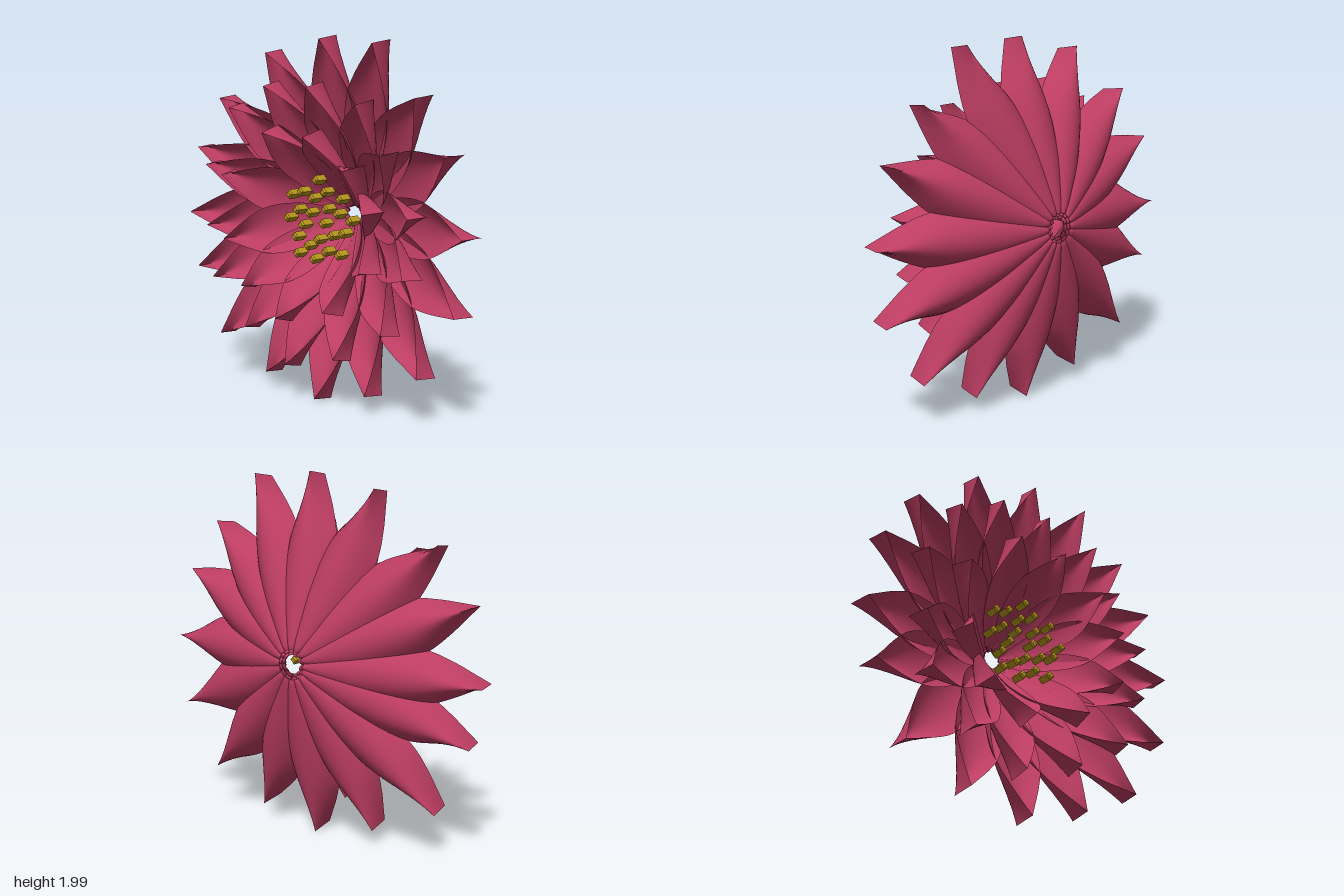
import * as THREE from 'three';

const rad = THREE.MathUtils.degToRad;

// Smooth curve through [t, value] knots
function profile(knots) {
  const curve = new THREE.SplineCurve(knots.map(([t, v]) => new THREE.Vector2(t, v)));
  const pts = curve.getPoints(120);
  return (t) => {
    let i = 1;
    while (i < pts.length - 1 && pts[i].x < t) i++;
    const a = pts[i - 1], b = pts[i];
    return THREE.MathUtils.lerp(a.y, b.y, (t - a.x) / (b.x - a.x));
  };
}

// Half width and cup depth along a petal, base to tip
const halfWidth = profile([[0, 0.16], [0.06, 0.38], [0.15, 0.58], [0.3, 0.86], [0.5, 1], [0.66, 0.92], [0.8, 0.61], [0.92, 0.25], [1, 0]]);
const cupDepth = profile([[0, 0.2], [0.2, 0.48], [0.45, 0.76], [0.7, 0.92], [1, 1]]);

// Thick boat-shaped petal along +x: rounded back, shallower hollow toward +z, upright prow at the tip
function petalGeometry({ base, width, depth, lean, baseZ, tipZ }, radius) {
  const rows = 28, cols = 14, stride = cols + 1, sheet = (rows + 1) * stride;
  const pos = [], index = [];
  for (const floor of [0, 0.5]) {
    for (let i = 0; i <= rows; i++) {
      const t = i / rows;
      const r = base + (radius - base) * t;
      const keel = THREE.MathUtils.lerp(baseZ, tipZ, t) - 0.025 * Math.sin(Math.PI * t);
      for (let j = 0; j <= cols; j++) {
        const u = (j / cols) * 2 - 1;
        const d = depth * cupDepth(t) * (floor + (1 - floor) * Math.pow(Math.abs(u), 2.1));
        pos.push(r - d * Math.sin(lean) * t, width * halfWidth(t) * u, keel + d * Math.cos(lean));
      }
    }
  }
  for (let j = 0; j < cols; j++) {
    for (let i = 0; i < rows; i++) {
      const a = i * stride + j, b = a + stride, c = a + sheet, d = b + sheet;
      index.push(a, a + 1, b, b, a + 1, b + 1); // back
      index.push(c, d, c + 1, d, d + 1, c + 1); // hollow
    }
    index.push(j, sheet + j + 1, j + 1, j, sheet + j, sheet + j + 1); // base end
  }
  const g = new THREE.BufferGeometry();
  g.setAttribute('position', new THREE.Float32BufferAttribute(pos, 3));
  g.setIndex(index);
  g.computeVertexNormals();
  return g;
}

// Petal rings: each petal is [angle in degrees, tip radius]
const rings = [
  {
    name: 'outerPetal', base: 0.08, width: 0.155, depth: 0.14, lean: rad(9), baseZ: -0.28, tipZ: -0.04,
    petals: [[87, 0.99], [66.4, 1.05], [44.6, 0.98], [24.2, 0.98], [0, 1], [-22.6, 1.04], [-45.8, 1.05], [-67.3, 0.99],
      [-89, 1], [-111.6, 0.98], [-135, 1.05], [-159, 1], [-178, 1], [158.6, 0.99], [138, 0.98], [111, 0.98]],
  },
  {
    name: 'middlePetal', base: 0.065, width: 0.14, depth: 0.135, lean: rad(13), baseZ: -0.275, tipZ: 0.08,
    petals: [[85, 0.75], [58, 0.78], [35, 0.71], [7, 0.77], [-17, 0.77], [-42, 0.8], [-70, 0.77],
      [-97, 0.82], [-123, 0.77], [-151, 0.79], [-174, 0.74], [159, 0.79], [131, 0.82], [109, 0.79]],
  },
  {
    name: 'innerPetal', base: 0.05, width: 0.135, depth: 0.145, lean: rad(16), baseZ: -0.27, tipZ: 0.15,
    petals: [[76.5, 0.52], [39, 0.53], [11, 0.56], [-22, 0.57], [-60, 0.54],
      [-100, 0.56], [-133.5, 0.55], [-166, 0.54], [155, 0.59], [111, 0.55]],
  },
];

// Stamen positions, relative to the flower centre
const stamens = [
  [0, 0.22], [-0.11, 0.15], [0.06, 0.16], [-0.19, 0.13], [0.17, 0.13], [-0.03, 0.12], [-0.14, 0.05], [0.07, 0.07],
  [0.15, 0.05], [0.24, 0.02], [-0.05, 0.04], [-0.21, 0], [-0.1, -0.03], [0.05, -0.01], [0.19, -0.05], [0.11, -0.07],
  [-0.15, -0.1], [0.01, -0.1], [-0.06, -0.14], [-0.14, -0.19], [0.07, -0.16], [0.16, -0.17], [-0.02, -0.21],
];

export function createModel() {
  const petalPink = new THREE.MeshStandardMaterial({ color: 0xbc3d62 });
  petalPink.name = 'petalPink';
  const stamenGold = new THREE.MeshStandardMaterial({ color: 0xb8981c });
  stamenGold.name = 'stamenGold';

  const flower = new THREE.Group();
  flower.name = 'flower';

  // Three rings of cupped petals
  for (const ring of rings) {
    const group = new THREE.Group();
    group.name = ring.name + 'Ring';
    for (const [angle, radius] of ring.petals) {
      const petal = new THREE.Mesh(petalGeometry(ring, radius), petalPink);
      petal.name = ring.name;
      petal.rotation.z = rad(angle);
      group.add(petal);
    }
    flower.add(group);
  }

  // Short square stamens with bevelled ends, pointing forward
  const outline = [[0, -0.045], [0.015, -0.045], [0.026, -0.035], [0.026, 0.035], [0.015, 0.045], [0, 0.045]];
  const rod = new THREE.LatheGeometry(outline.map(([r, y]) => new THREE.Vector2(r, y)), 4).toNonIndexed();
  rod.computeVertexNormals();
  rod.rotateX(Math.PI / 2);
  const stamenGroup = new THREE.Group();
  stamenGroup.name = 'stamens';
  for (const [x, y] of stamens) {
    const stamen = new THREE.Mesh(rod, stamenGold);
    stamen.name = 'stamen';
    stamen.position.set(x, y, 0.035);
    stamenGroup.add(stamen);
  }
  flower.add(stamenGroup);

  flower.position.y = 1;
  const model = new THREE.Group();
  model.add(flower);
  return model;
}
